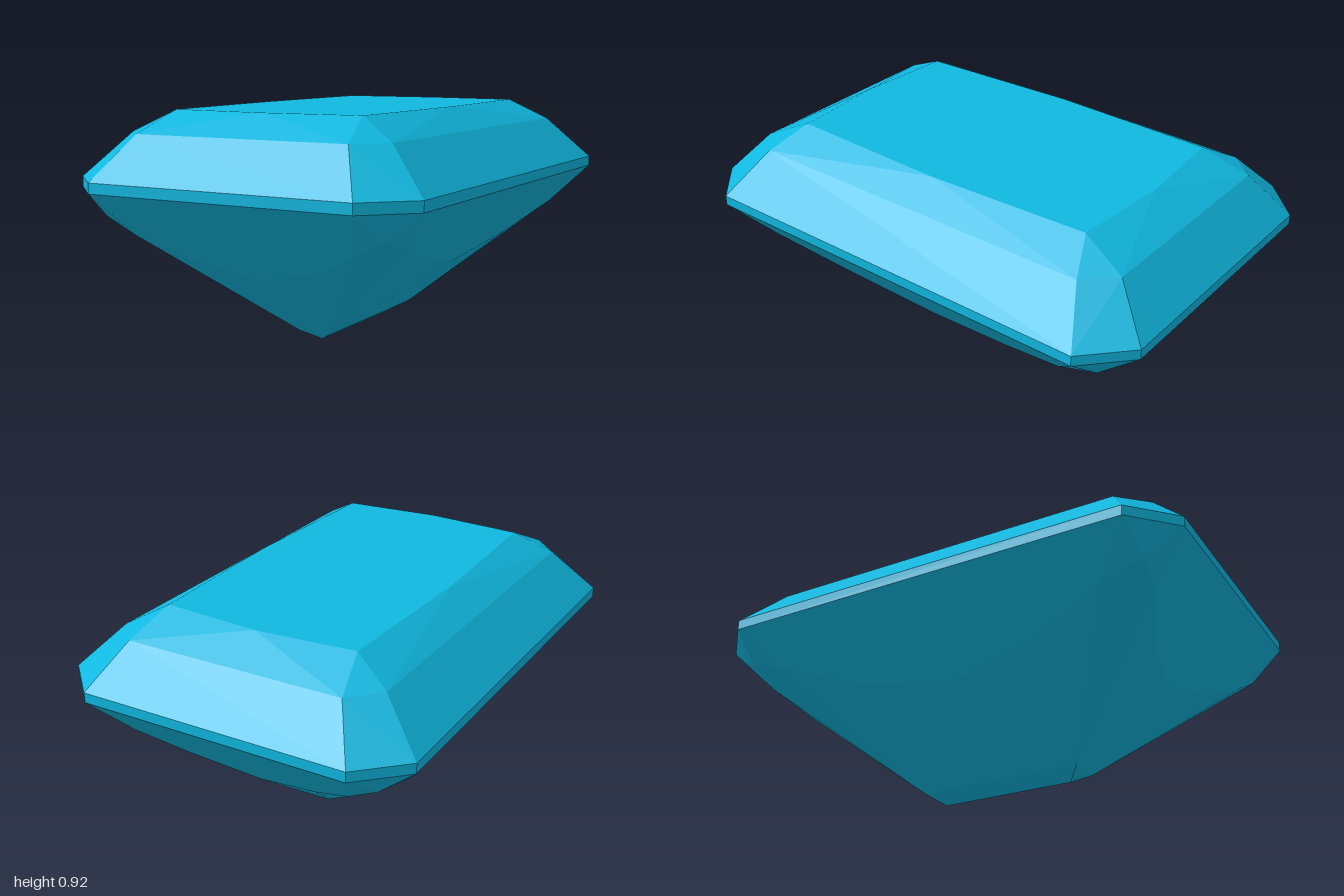
import * as THREE from 'three';
import { ConvexGeometry } from 'three/addons/geometries/ConvexGeometry.js';

// Facet corners of one quarter of the stone [x, y, z]; the rest is mirrored
const table = [[0.42, 0.915, 0], [0.395, 0.915, 0.67], [0, 0.915, 0.70]];
const crown = [[0.545, 0.833, 0.74], [0.44, 0.833, 0.85]];
const girdle = [0.665, 0.625].flatMap(y => [[0.71, y, 0.84], [0.54, y, 1]]);

// Corners lying on the big sloping facets of the underside
const onSide = (y, z) => [0.71 - (0.625 - y) * 0.873, y, z];
const onEnd = (x, y) => [x, y, 1 - (0.625 - y) * 0.952];
const pavilion = [
  onSide(0.31, 0), onSide(0.375, 0.4), onSide(0.475, 0.70),
  onEnd(0, 0.31), onEnd(0.28, 0.375), onEnd(0.46, 0.46),
  [0.58, 0.525, 0.86],
];
const keel = [[0.07, 0.04, 0.34], [0, 0, 0.28]];

// Mirror a corner across x and z without duplicates
function mirror([x, y, z]) {
  const points = [];
  for (const sx of x ? [1, -1] : [1])
    for (const sz of z ? [1, -1] : [1])
      points.push(new THREE.Vector3(x * sx, y, z * sz));
  return points;
}

export function createModel() {
  const group = new THREE.Group();
  group.name = 'gemstone';

  // Cut stone: the convex hull of all facet corners
  const points = [...table, ...crown, ...girdle, ...pavilion, ...keel].flatMap(mirror);
  const stone = new THREE.Mesh(
    new ConvexGeometry(points),
    new THREE.MeshStandardMaterial({ color: 0x10b8e0, flatShading: true })
  );
  stone.name = 'cutStone';
  group.add(stone);
  return group;
}
